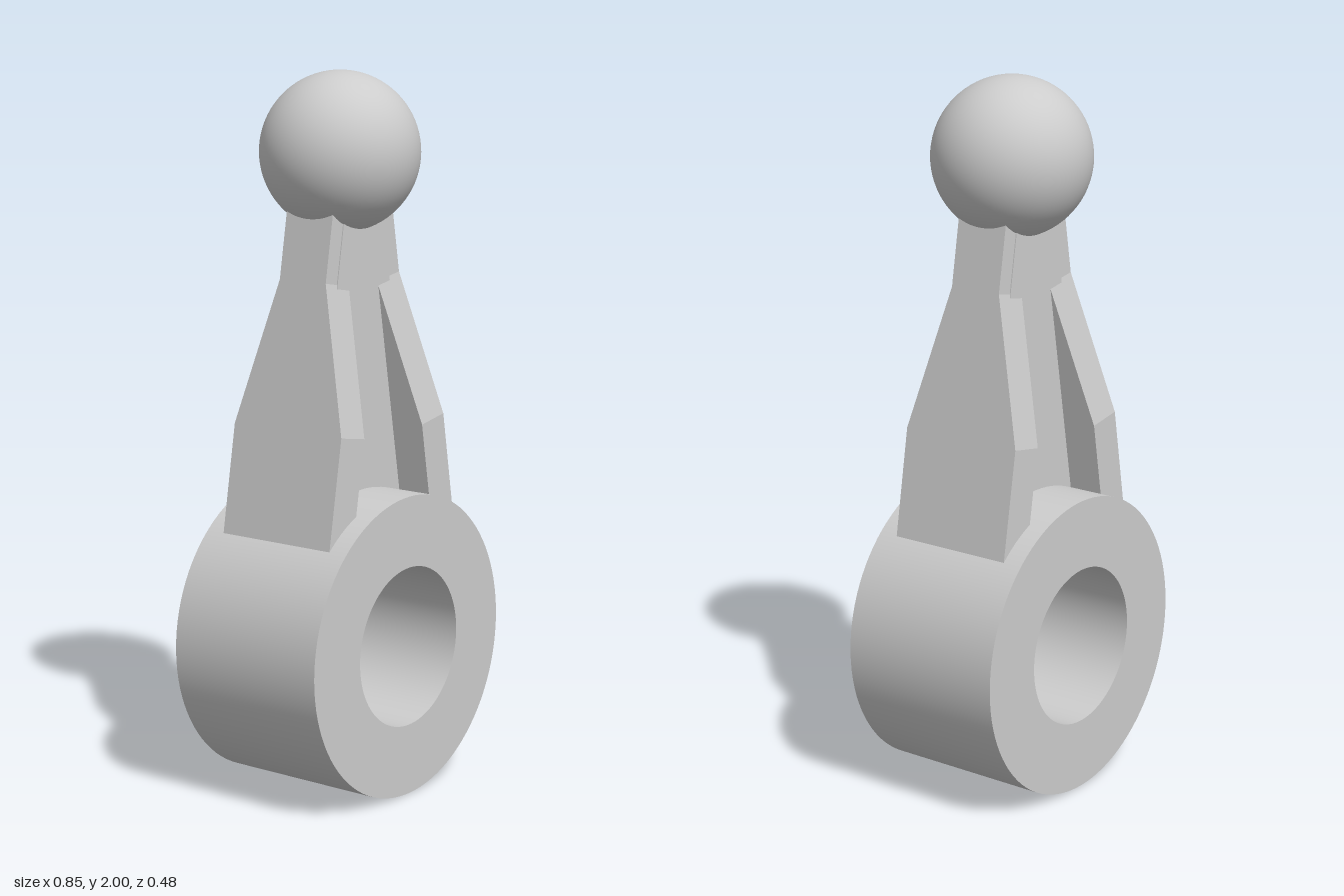
import * as THREE from 'three';
import { toCreasedNormals } from 'three/addons/utils/BufferGeometryUtils.js';

const polygon = (pts) => new THREE.Shape(pts.map(([x, y]) => new THREE.Vector2(x, y)));

export function createModel() {
  const model = new THREE.Group();
  model.name = 'ballJointArm';
  const grey = new THREE.MeshStandardMaterial({ color: 0xcccccc });
  grey.name = 'light grey';

  const add = (name, geometry) => {
    const mesh = new THREE.Mesh(geometry, grey);
    mesh.name = name;
    model.add(mesh);
    return mesh;
  };

  // Bearing ring: rectangular section revolved about the z axis
  const R = 0.425, r = 0.225, d = 0.242;
  const section = [[r, -d], [R, -d], [R, d], [r, d], [r, -d]].map(([x, y]) => new THREE.Vector2(x, y));
  const ring = toCreasedNormals(new THREE.LatheGeometry(section, 96), 0.5);
  ring.rotateX(Math.PI / 2);
  add('bearingRing', ring).position.y = R;

  // Ball on top
  add('ball', new THREE.SphereGeometry(0.221, 64, 40)).position.y = 1.779;

  // Central web between the two flanges
  const webDepth = 0.082;
  const web = new THREE.ExtrudeGeometry(
    polygon([[-0.24, 0.7], [0.24, 0.7], [0.08, 1.65], [-0.08, 1.65]]),
    { depth: webDepth * 2, bevelEnabled: false });
  web.translate(0, 0, -webDepth);
  add('web', web);

  // Flanges: tapered plates leaning towards the ball
  const thickness = 0.103;
  const half = [[0.185, -0.1], [0.185, 0.3], [0.079, 0.705], [0.079, 0.92]];
  const outline = [...half, ...half.map(([z, v]) => [-z, v]).reverse()];
  for (const [name, turn] of [['leftFlange', 0], ['rightFlange', Math.PI]]) {
    const flange = new THREE.ExtrudeGeometry(polygon(outline), { depth: thickness, bevelEnabled: false });
    flange.translate(0, 0, -thickness);
    flange.rotateY(Math.PI / 2);
    flange.rotateZ(0.1705);
    flange.translate(0.285, 0.745, 0);
    flange.rotateY(turn);
    add(name, flange);
  }

  return model;
}
